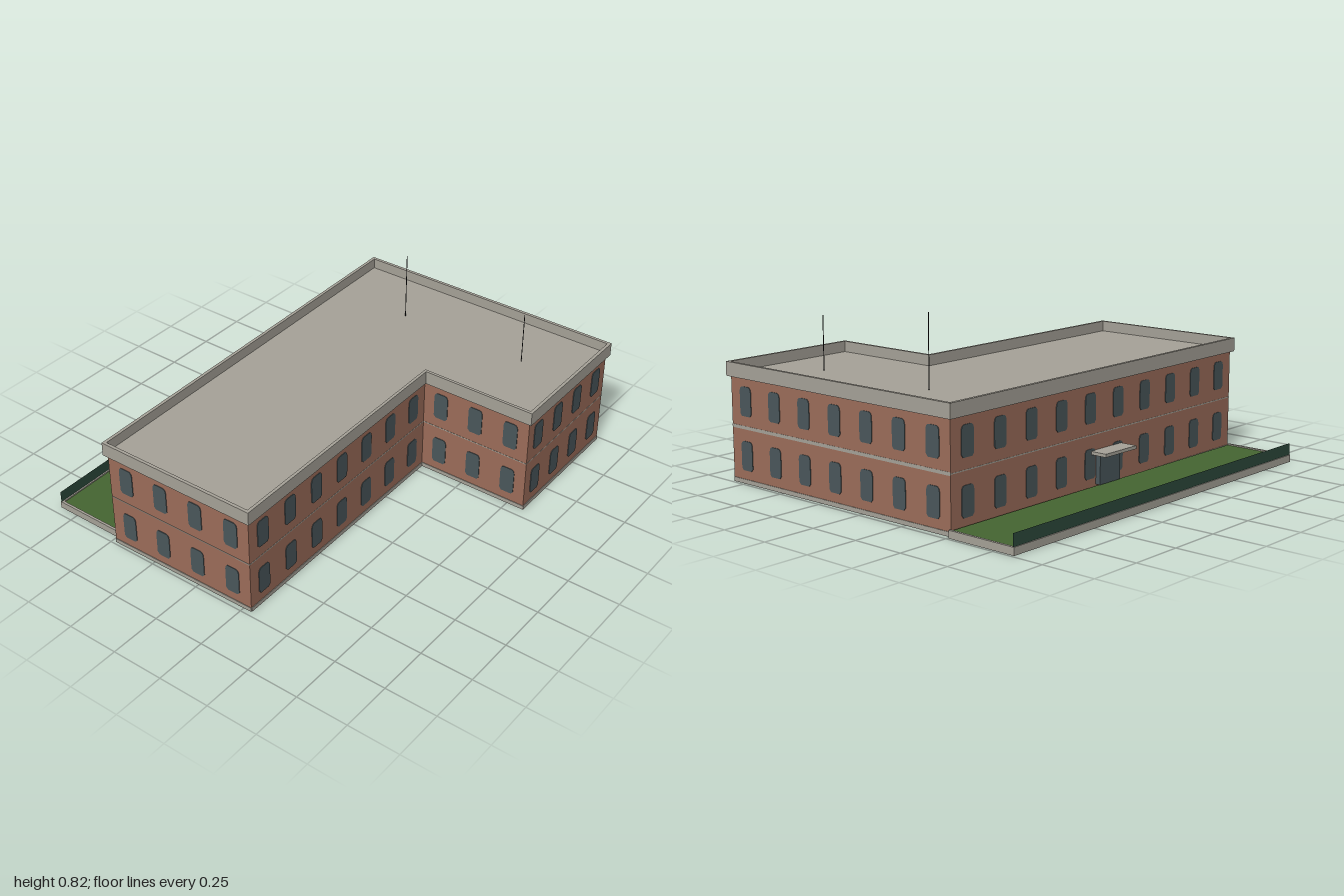
import * as THREE from 'three';

const mat = (name, color, side = THREE.FrontSide) => {
  const m = new THREE.MeshStandardMaterial({ color, side });
  m.name = name;
  return m;
};

export function createModel() {
  const brick = mat('brick', 0x9c6d5a, THREE.DoubleSide);
  const stone = mat('stone', 0xa6a298, THREE.DoubleSide);
  const glass = mat('slate glass', 0x4a575b);
  const grass = mat('grass', 0x456532);
  const hedgeGreen = mat('hedge green', 0x2c4a3c, THREE.DoubleSide);
  const black = mat('black metal', 0x222222);

  const root = new THREE.Group();
  root.name = 'building';
  const add = (name, geo, material, x = 0, y = 0, z = 0, parent = root) => {
    const mesh = new THREE.Mesh(geo, material);
    mesh.name = name;
    mesh.position.set(x, y, z);
    parent.add(mesh);
    return mesh;
  };
  const box = (name, w, h, d, material, x, y, z, parent) =>
    add(name, new THREE.BoxGeometry(w, h, d), material, x, y, z, parent);

  // L-shaped plan as [x, z], with a slightly wider outline for the parapet
  const plan = [[-0.985, -0.48], [-0.975, 0.29], [0.297, 0.278], [0.302, 0.833], [0.985, 0.828], [0.97, -0.5]];
  const rim = [[-1, -0.495], [-0.99, 0.305], [0.283, 0.292], [0.288, 0.848], [1, 0.843], [0.985, -0.515]];
  const outline = pts => pts.map(([x, z]) => new THREE.Vector2(x, -z));

  // Window: upright pane with an arched head and clipped sill corners
  const pane = new THREE.Shape();
  pane.moveTo(-0.026, -0.067);
  pane.lineTo(0.026, -0.067);
  pane.lineTo(0.036, -0.055);
  pane.lineTo(0.036, 0.045);
  pane.quadraticCurveTo(0.034, 0.067, 0.018, 0.067);
  pane.lineTo(-0.018, 0.067);
  pane.quadraticCurveTo(-0.034, 0.067, -0.036, 0.045);
  pane.lineTo(-0.036, -0.055);
  const paneGeo = new THREE.ExtrudeGeometry(pane, { depth: 0.006, bevelEnabled: false, curveSegments: 4 });
  paneGeo.translate(0, 0, -0.003);

  // Walls, each in its own frame with local +z facing outward
  const wallNames = ['leftEndWall', 'frontWall', 'wingInnerWall', 'wingFrontWall', 'sideWall', 'backWall'];
  const columns = [4, 7, 3, 4, 7, 10];
  plan.forEach(([x0, z0], i) => {
    const [x1, z1] = plan[(i + 1) % plan.length];
    const length = Math.hypot(x1 - x0, z1 - z0);
    const wall = new THREE.Group();
    wall.name = wallNames[i];
    wall.position.set((x0 + x1) / 2, 0, (z0 + z1) / 2);
    wall.rotation.y = Math.atan2(z0 - z1, x1 - x0);
    root.add(wall);
    add('brickwork', new THREE.PlaneGeometry(length, 0.495), brick, 0, 0.2475, 0, wall);
    box('plinth', length, 0.02, 0.006, stone, 0, 0.01, 0, wall);
    box('beltCourse', length, i === 4 ? 0.015 : 0.005, 0.002, stone, 0, 0.256, 0, wall);
    for (let c = 0; c < columns[i]; c++) {
      const x = ((c + 0.5) / columns[i] - 0.5) * length;
      for (const y of [0.128, 0.375]) add('window', paneGeo, glass, x, y, 0, wall);
    }
  });

  // Flat roof and the parapet around it
  const roof = new THREE.ShapeGeometry(new THREE.Shape(outline(plan)));
  roof.rotateX(-Math.PI / 2);
  add('roof', roof, stone, 0, 0.495, 0);
  const ring = new THREE.Shape(outline(rim));
  ring.holes.push(new THREE.Path(outline(plan)));
  const parapet = new THREE.ExtrudeGeometry(ring, { depth: 0.065, bevelEnabled: false });
  parapet.rotateX(-Math.PI / 2);
  add('parapet', parapet, stone, 0, 0.48, 0);

  // Roof masts
  for (const [z, top] of [[-0.105, 0.825], [0.55, 0.745]]) {
    const h = top - 0.495;
    add('mast', new THREE.CylinderGeometry(0.002, 0.002, h, 6), black, 0.685, 0.495 + h / 2, z);
  }

  // Back entrance
  box('door', 0.14, 0.14, 0.03, glass, -0.022, 0.1, -0.5);
  box('canopy', 0.215, 0.015, 0.085, stone, -0.0225, 0.177, -0.5325);

  // Lawn with kerbs on three sides and a thin hedge along the back
  box('lawn', 1.93, 0.018, 0.335, grass, 0.015, 0.019, -0.673);
  for (const x of [-0.954, 0.984]) box('sideKerb', 0.012, 0.034, 0.345, stone, x, 0.017, -0.6775);
  box('backKerb', 1.926, 0.034, 0.012, stone, 0.015, 0.017, -0.844);
  add('hedge', new THREE.PlaneGeometry(1.95, 0.055), hedgeGreen, 0.015, 0.0615, -0.845);

  return root;
}
